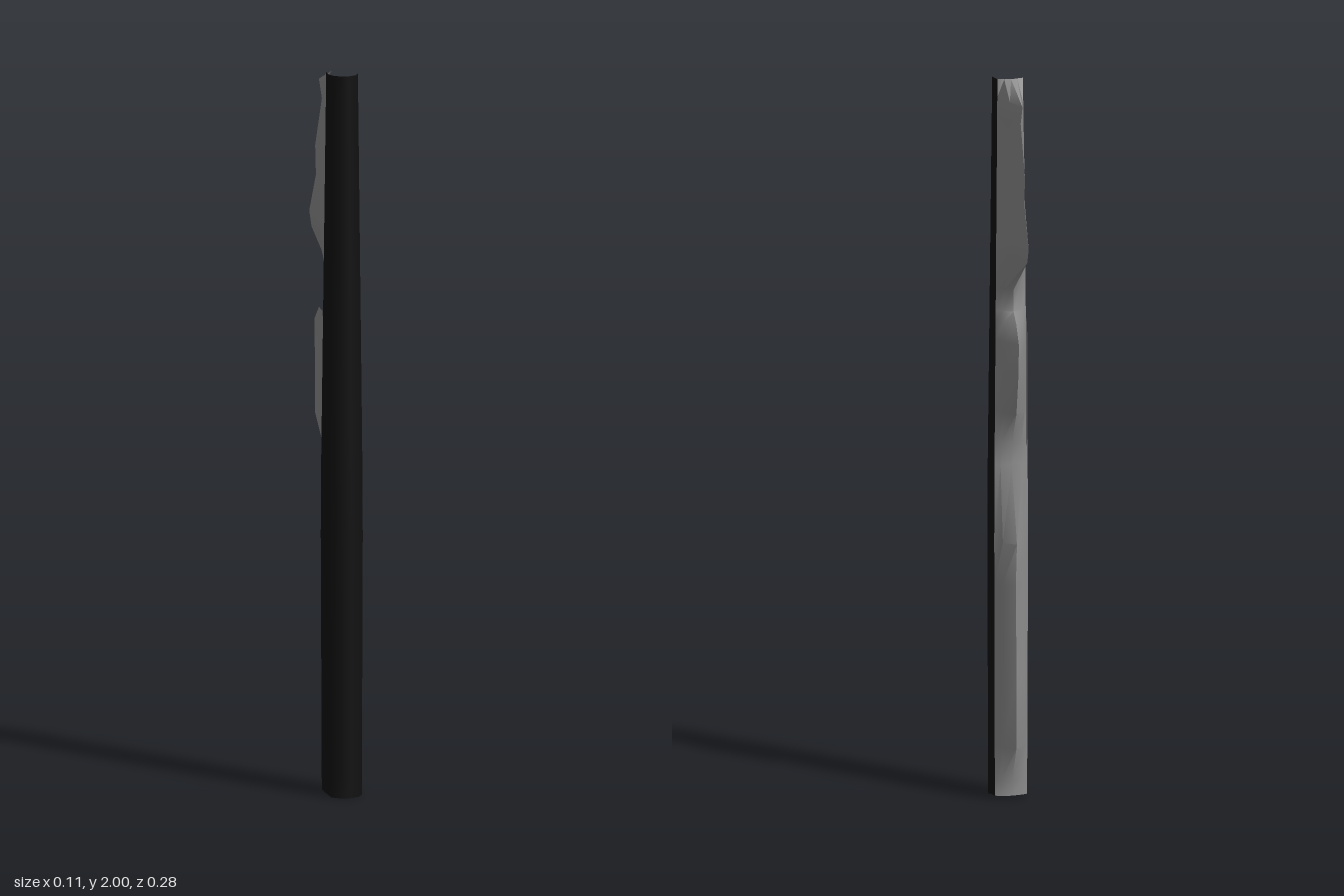
import * as THREE from 'three';
import { toCreasedNormals } from 'three/addons/utils/BufferGeometryUtils.js';

// height, z of the torn trailing edge
const rows = [
  [0.01, 0.035], [0.05, 0.035], [0.15, -0.01], [0.35, -0.012], [0.6, -0.004], [0.72, -0.016],
  [0.93, 0.038], [0.99, 0.038], [1.08, -0.01], [1.2, -0.033], [1.28, -0.036], [1.33, -0.01],
  [1.36, 0.02], [1.42, 0.02], [1.53, -0.125], [1.57, -0.14], [1.68, -0.095], [1.76, -0.1],
  [1.9, -0.055], [1.95, -0.075], [2, 0.046],
];
// right-hand half of the rounded nose, in units of the half width
const nose = [[0, 1], [0.5, 0.87], [0.85, 0.45], [1, 0], [0.85, -0.75]];

// half width narrows towards the top
function halfWidth(y) {
  return y < 0.8 ? 0.053 + 0.003 * y / 0.8 : 0.056 - 0.014 * (y - 0.8) / 1.2;
}

function noseSection(y) {
  const w = halfWidth(y);
  const half = nose.map(([x, z]) => new THREE.Vector3(x * w, y, 0.087 + z * w));
  const mirrored = half.slice(1).reverse().map((p) => new THREE.Vector3(-p.x, y, p.z));
  return [...mirrored, ...half];
}

function tailSection(y, back) {
  const w = halfWidth(y);
  const sx = 0.85 * w, sz = 0.087 - 0.75 * w;
  const bulge = back > -0.05 && y < 1.4 ? 0.66 : 0.5;
  const mid = (sz + back) / 2;
  return [[sx, sz], [sx * bulge, mid], [0, back], [-sx * bulge, mid], [-sx, sz]]
    .map(([x, z]) => new THREE.Vector3(x, y, z));
}

// skin joining a stack of equal-length sections
function loft(sections) {
  const n = sections[0].length, index = [];
  for (let r = 0; r < sections.length - 1; r++) {
    for (let i = 0; i < n - 1; i++) {
      const a = r * n + i, c = a + n;
      index.push(a, a + 1, c + 1, a, c + 1, c);
    }
  }
  const g = new THREE.BufferGeometry().setFromPoints(sections.flat());
  g.setIndex(index);
  return toCreasedNormals(g, 0.9);
}

export function createModel() {
  const group = new THREE.Group();
  const dark = new THREE.MeshStandardMaterial({ color: 0x111111 });
  const grey = new THREE.MeshStandardMaterial({ color: 0x8c8c8c });
  const greyThin = new THREE.MeshStandardMaterial({ color: 0x8c8c8c, side: THREE.DoubleSide });
  const add = (name, geometry, material) => {
    const mesh = new THREE.Mesh(geometry, material);
    mesh.name = name;
    group.add(mesh);
  };

  // rounded leading edge, open at the top
  const noseRows = rows.map(([y]) => noseSection(y));
  noseRows[0].forEach((p) => { p.y = p.z > 0.1 ? 0 : 0.01; });
  add('leadingEdge', loft(noseRows), dark);

  // torn trailing edge
  const tailRows = rows.map(([y, back]) => tailSection(y, back));
  add('tornTail', loft(tailRows), grey);

  // bottom cap facing down
  const rim = [...noseRows[0], ...tailRows[0].slice(1, -1)];
  const centre = new THREE.Vector3(0, 0.01, 0.085);
  const cap = rim.flatMap((p, i) => [centre, rim[(i + 1) % rim.length], p]);
  const capGeometry = new THREE.BufferGeometry().setFromPoints(cap);
  capGeometry.computeVertexNormals();
  add('bottomCap', capGeometry, dark);

  // thin skin left standing on the right side: height, z of its free edge
  const flap = [[0.98, 0.03], [1.03, -0.06], [1.15, -0.062], [1.29, -0.065], [1.335, -0.005]];
  const flapX = (z) => -0.043 * (z + 0.14) / 0.19;
  add('tornFlap', loft(flap.map(([y, z]) => [z, 0.045].map(
    (d) => new THREE.Vector3(flapX(d), y, d)))), greyThin);

  return group;
}
